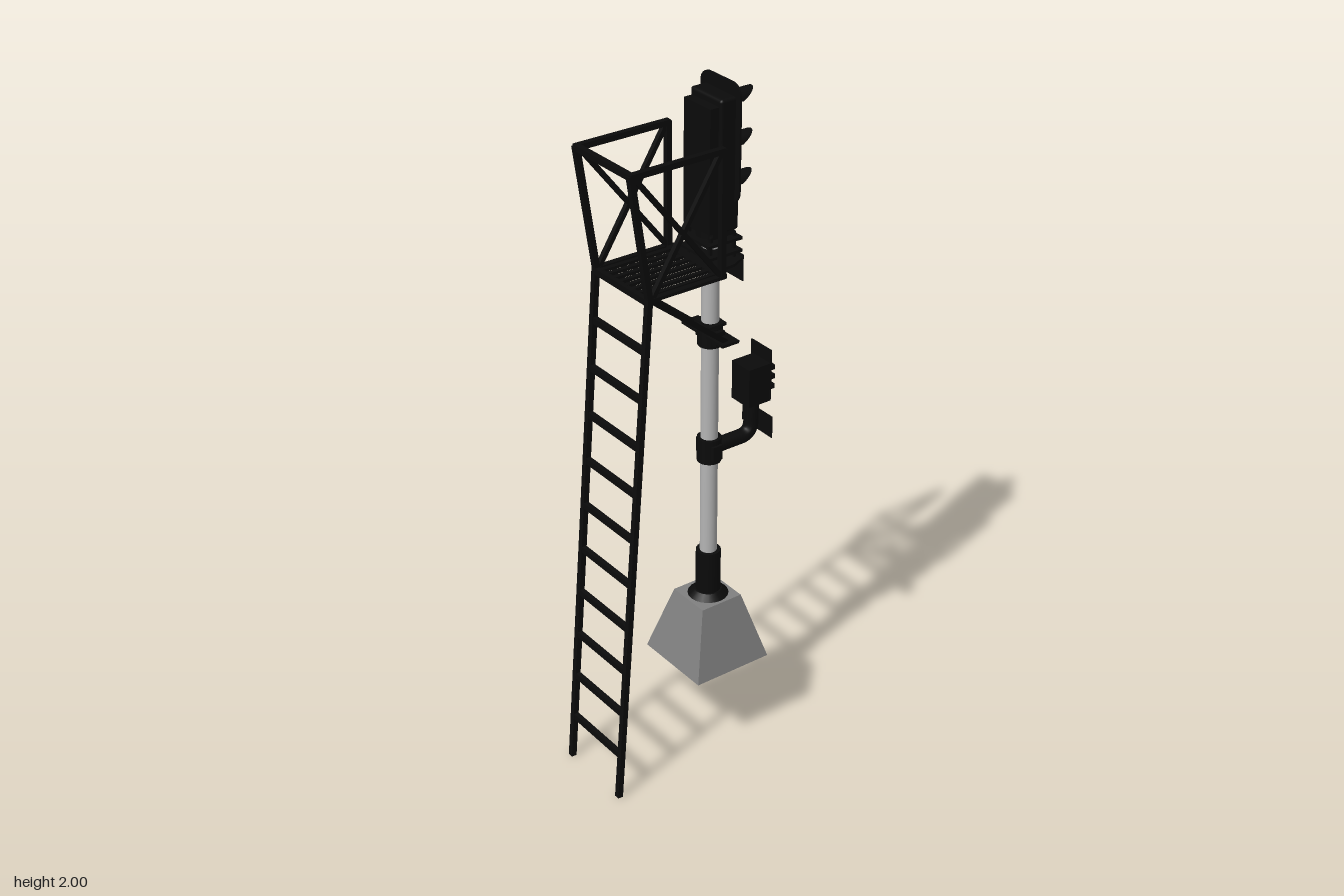
import * as THREE from 'three';
import { RoundedBoxGeometry } from 'three/addons/geometries/RoundedBoxGeometry.js';

const mat = (color) => new THREE.MeshStandardMaterial({ color, side: THREE.DoubleSide });
const black = mat(0x0b0b0b);
const steel = mat(0xb4b4b4);
const concrete = mat(0x808080);
concrete.flatShading = true;
const MX = 0.105; // mast axis

export function createModel() {
  const root = new THREE.Group();
  const group = (name) => {
    const g = new THREE.Group();
    g.name = name;
    root.add(g);
    return g;
  };
  const add = (parent, name, geo, m, x = 0, y = 0, z = 0) => {
    const mesh = new THREE.Mesh(geo, m);
    mesh.name = name;
    mesh.position.set(x, y, z);
    parent.add(mesh);
    return mesh;
  };
  const box = (parent, name, w, h, d, x, y, z = 0) =>
    add(parent, name, new THREE.BoxGeometry(w, h, d), black, x, y, z);
  const cyl = (parent, name, r0, r1, y0, y1, m = black, x = MX) =>
    add(parent, name, new THREE.CylinderGeometry(r1, r0, y1 - y0, 20), m, x, (y0 + y1) / 2);
  // square bar between two points
  const bar = (parent, name, a, b, w = 0.016, h = w) => {
    const p = new THREE.Vector3(...a), q = new THREE.Vector3(...b);
    const mesh = add(parent, name, new THREE.BoxGeometry(w, h, p.distanceTo(q) + w * 0.5), black);
    mesh.position.copy(p).add(q).multiplyScalar(0.5);
    mesh.lookAt(q);
    return mesh;
  };
  // clamp round the mast with bolted ears
  const clamp = (parent, y0, y1, ear) => {
    cyl(parent, 'clampBand', 0.034, 0.034, y0, y1);
    for (const s of [-1, 1]) {
      box(parent, 'clampEar', 0.03, (y1 - y0) * 0.6, ear - 0.02, MX, (y0 + y1) / 2, s * (ear + 0.02) / 2);
    }
  };

  // Concrete foundation: tapered square block
  const foot = new THREE.CylinderGeometry(0.067 * Math.SQRT2, 0.123 * Math.SQRT2, 0.2, 4);
  foot.rotateY(Math.PI / 4);
  add(root, 'foundation', foot, concrete, 0.103, 0.37);

  // Mast and socket
  const mast = group('mast');
  cyl(mast, 'pole', 0.024, 0.024, 0.47, 1.6, steel);
  cyl(mast, 'socket', 0.035, 0.035, 0.47, 0.615);
  cyl(mast, 'socketFlange', 0.058, 0.04, 0.47, 0.487);

  // Ladder whose stiles lean in, then flare out as rail posts
  const ladder = group('ladder');
  const W = 0.116;
  const stileX = (y) => -0.29 + 0.115 * y / 1.52;
  for (const s of [-1, 1]) {
    bar(ladder, 'stile', [-0.29, 0.005, s * W], [-0.175, 1.52, s * W]);
    bar(ladder, 'railPost', [-0.175, 1.52, s * W], [-0.227, 1.86, s * W]);
  }
  for (let i = 0; i < 11; i++) {
    const y = 0.14 + i * 0.137;
    box(ladder, 'rung', 0.014, 0.018, 2 * W, stileX(y), y);
  }

  // Guard rail with crossed braces
  const guard = group('guardRail');
  bar(guard, 'backRail', [-0.225, 1.86, -W], [-0.225, 1.86, W]);
  for (const s of [-1, 1]) {
    const z = s * W;
    bar(guard, 'topRail', [-0.227, 1.86, z], [0.053, 1.86, z]);
    bar(guard, 'frontPost', [0.053, 1.515, z], [0.053, 1.86, z]);
    bar(guard, 'brace', [-0.217, 1.855, z], [0.048, 1.52, z], 0.013);
    bar(guard, 'brace', [-0.165, 1.52, z], [0.045, 1.855, z], 0.013);
  }

  // Slatted platform and its struts
  const platform = group('platform');
  for (let i = 0; i < 8; i++) {
    box(platform, 'slat', 0.23, 0.008, 0.013, -0.058, 1.516, (i - 3.5) * 0.027);
  }
  const deck = new THREE.Shape();
  const half = [[0.042, 0.122], [0.065, 0.122], [0.085, 0.085], [0.12, 0.082], [0.16, 0.062]];
  half.forEach(([x, z], i) => (i ? deck.lineTo(x, z) : deck.moveTo(x, z)));
  half.slice().reverse().forEach(([x, z]) => deck.lineTo(x, -z));
  const deckGeo = new THREE.ExtrudeGeometry(deck, { depth: 0.008, bevelEnabled: false });
  deckGeo.rotateX(Math.PI / 2);
  add(platform, 'frontDeck', deckGeo, black, 0, 1.52);
  for (const s of [-1, 1]) {
    box(platform, 'sideBeam', 0.23, 0.009, 0.016, -0.06, 1.516, s * W);
    bar(platform, 'strut', [-0.165, 1.51, s * 0.11], [0.1, 1.298, s * 0.07], 0.014);
  }
  box(platform, 'strutPlate', 0.055, 0.008, 0.18, MX, 1.295);
  box(platform, 'strutPlate', 0.055, 0.008, 0.07, MX, 1.325);
  clamp(platform, 1.26, 1.325, 0.045);
  box(platform, 'numberPlate', 0.003, 0.075, 0.12, 0.165, 1.487);

  // Signal head: case, backboard, mounting
  const head = group('signalHead');
  cyl(head, 'neck', 0.04, 0.04, 1.575, 1.64);
  for (const y of [1.54, 1.575]) box(head, 'mountPlate', 0.11, 0.008, 0.125, MX, y);
  for (const x of [0.07, 0.145]) for (const z of [-0.045, 0.045]) {
    box(head, 'mountBolt', 0.008, 0.075, 0.008, x, 1.555, z);
  }
  box(head, 'headFoot', 0.07, 0.11, 0.095, 0.11, 1.64);
  add(head, 'case', new RoundedBoxGeometry(0.06, 0.36, 0.13, 2, 0.008), black, 0.115, 1.785);
  box(head, 'rearDoor', 0.035, 0.34, 0.11, 0.076, 1.775);
  const R = 0.035, a = 0.082, lo = 1.678, hi = 2;
  const board = new THREE.Shape();
  board.absarc(a - R, hi - R, R, 0, Math.PI / 2);
  board.absarc(R - a, hi - R, R, Math.PI / 2, Math.PI);
  board.absarc(R - a, lo + R, R, Math.PI, Math.PI * 1.5);
  board.absarc(a - R, lo + R, R, Math.PI * 1.5, Math.PI * 2);
  const boardGeo = new THREE.ExtrudeGeometry(board, { depth: 0.006, bevelEnabled: false });
  boardGeo.rotateY(Math.PI / 2);
  add(head, 'backboard', boardGeo, black, 0.13, 0);

  // Lamps, each with a visor that is longest at its top
  [[1.933, 0x0b6a1c], [1.817, 0x8a7d08], [1.709, 0x8a0c0c]].forEach(([y, color]) => {
    const lens = add(head, 'lens', new THREE.CylinderGeometry(0.019, 0.019, 0.006, 20), mat(color), 0.146, y);
    lens.rotation.z = Math.PI / 2;
    const visor = new THREE.CylinderGeometry(0.026, 0.026, 1, 20, 1, true, 0, Math.PI);
    visor.rotateZ(Math.PI / 2); // half tube along x, open below
    const p = visor.attributes.position;
    for (let i = 0; i < p.count; i++) {
      const t = p.getX(i) + 0.5, up = Math.abs(p.getY(i)) / 0.026;
      p.setXYZ(i, 0.142 + t * (0.045 + 0.043 * up), y - 0.004 + Math.abs(p.getY(i)), p.getZ(i));
    }
    visor.computeVertexNormals();
    add(head, 'visor', visor, black);
  });

  // Side arm carrying the small auxiliary signal
  const aux = group('auxiliarySignal');
  clamp(aux, 0.905, 0.977, 0.04);
  const path = new THREE.CurvePath();
  const v = (x, y) => new THREE.Vector3(x, y, 0);
  path.add(new THREE.LineCurve3(v(MX, 0.94), v(0.21, 0.94)));
  path.add(new THREE.QuadraticBezierCurve3(v(0.21, 0.94), v(0.248, 0.94), v(0.248, 0.98)));
  path.add(new THREE.LineCurve3(v(0.248, 0.98), v(0.248, 1.05)));
  add(aux, 'arm', new THREE.TubeGeometry(path, 40, 0.021, 16), black);
  box(aux, 'auxPlate', 0.003, 0.065, 0.13, 0.27, 0.978);
  box(aux, 'auxCase', 0.075, 0.115, 0.076, 0.247, 1.103);
  box(aux, 'auxFace', 0.004, 0.15, 0.086, 0.283, 1.125, -0.004);
  for (const y of [1.085, 1.115, 1.143]) {
    for (const z of [-0.022, 0.022]) box(aux, 'auxHood', 0.016, 0.014, 0.026, 0.292, y, z);
  }
  return root;
}
